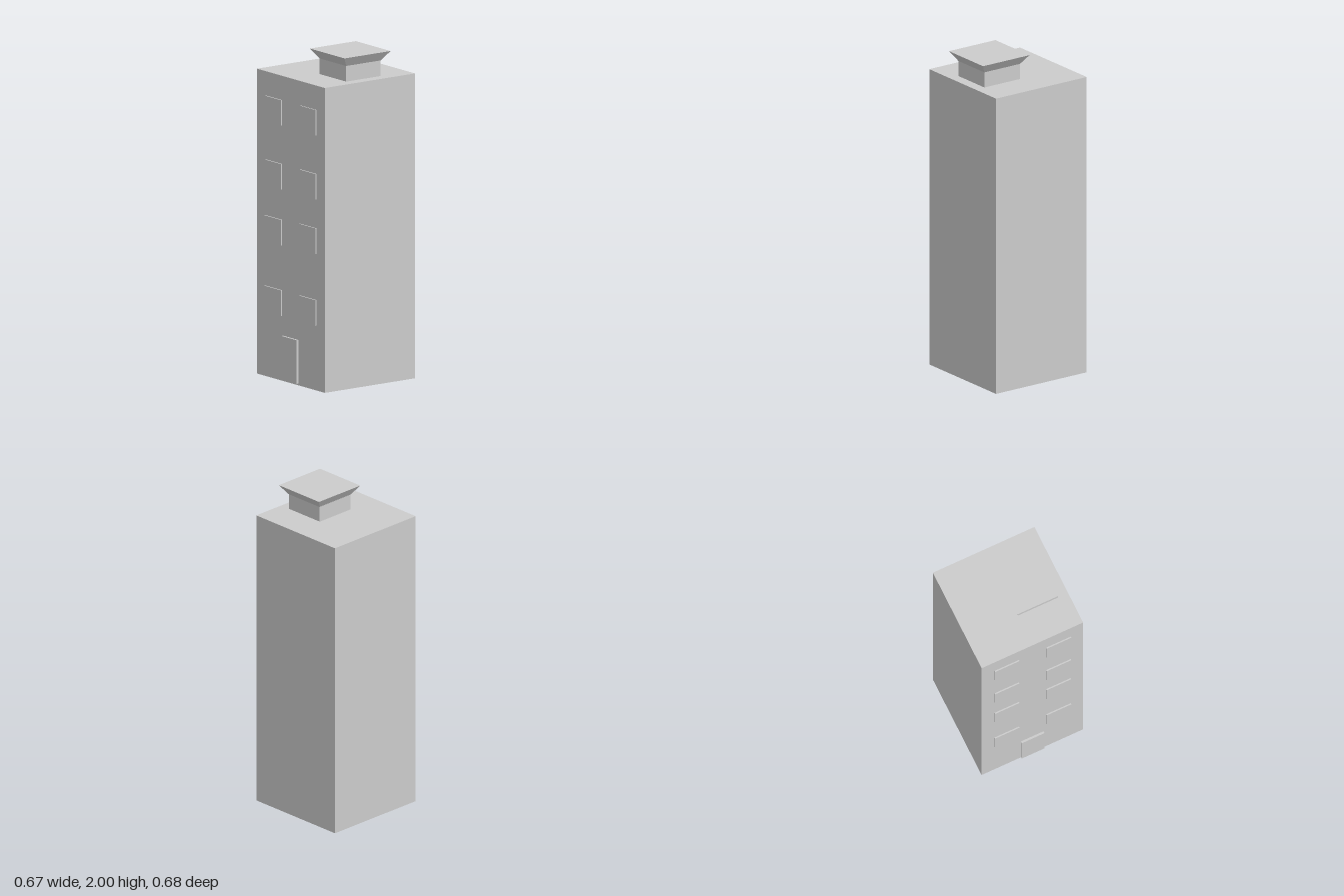
import * as THREE from 'three';

const material = new THREE.MeshStandardMaterial({ color: 0xcccccc, flatShading: true });

// Box given by its min and max corners
function addBox(parent, name, [x0, y0, z0], [x1, y1, z1]) {
  const mesh = new THREE.Mesh(new THREE.BoxGeometry(x1 - x0, y1 - y0, z1 - z0), material);
  mesh.position.set((x0 + x1) / 2, (y0 + y1) / 2, (z0 + z1) / 2);
  mesh.name = name;
  parent.add(mesh);
  return mesh;
}

export function createModel() {
  const model = new THREE.Group();
  model.name = 'towerBlock';

  // Main block
  const front = 0.326;
  addBox(model, 'building', [-0.333, 0, -0.341], [0.333, 1.847, front]);

  // Door panel
  addBox(model, 'door', [-0.076, 0.011, front - 0.01], [0.074, 0.275, 0.339]);

  // Four rows of paired windows: bottom heights on the right and left
  const windows = new THREE.Group();
  windows.name = 'windows';
  model.add(windows);
  const rows = [[0.393, 0.393], [0.82, 0.828], [1.158, 1.157], [1.545, 1.545]];
  for (const [rightY, leftY] of rows) {
    addBox(windows, 'windowRight', [-0.248, rightY, front - 0.01], [-0.088, rightY + 0.155, 0.334]);
    addBox(windows, 'windowLeft', [0.091, leftY, front - 0.01], [0.252, leftY + 0.155, 0.334]);
  }

  // Rooftop chimney with a cap that flares outward to its flat top
  const chimney = new THREE.Group();
  chimney.name = 'chimney';
  model.add(chimney);
  addBox(chimney, 'chimneyShaft', [0.006, 1.84, -0.136], [0.268, 1.942, 0.12]);
  const cap = addBox(chimney, 'chimneyCap', [-0.032, 1.942, -0.179], [0.309, 2, 0.162]);
  const pos = cap.geometry.attributes.position;
  for (let i = 0; i < pos.count; i++) {
    if (pos.getY(i) < 0) pos.setXYZ(i, pos.getX(i) * 0.77, pos.getY(i), pos.getZ(i) * 0.755);
  }
  cap.geometry.computeVertexNormals();

  return model;
}
